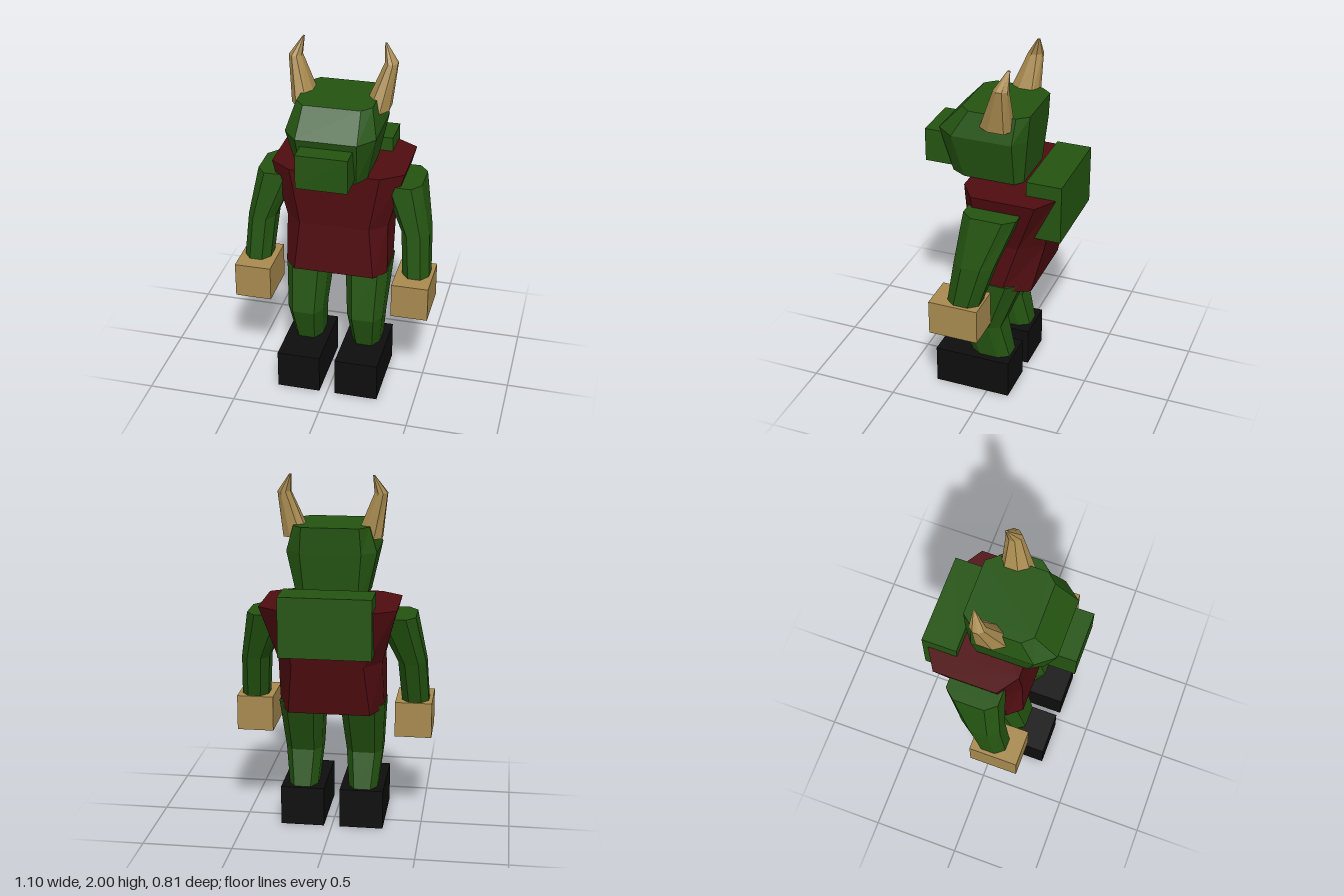
import * as THREE from 'three';

const paint = (name, color) => {
  const m = new THREE.MeshStandardMaterial({ color });
  m.name = name;
  return m;
};

// Eight-sided loft. Section: [y, xMin, xMax, zMin, zMax, cutX, cutZFront, cutZBack]
function loft(sections, side = 1) {
  const rings = sections.map(([y, xa, xb, z0, z1, cx, cf, cb = cf]) => {
    const x0 = side > 0 ? xa : -xb, x1 = side > 0 ? xb : -xa;
    return [
      [x0 + cx, y, z1], [x1 - cx, y, z1], [x1, y, z1 - cf], [x1, y, z0 + cb],
      [x1 - cx, y, z0], [x0 + cx, y, z0], [x0, y, z0 + cb], [x0, y, z1 - cf],
    ];
  });
  const pos = [];
  const tri = (a, b, c) => pos.push(...a, ...b, ...c);
  for (let r = 0; r < rings.length - 1; r++) {
    for (let i = 0; i < 8; i++) {
      const j = (i + 1) % 8, lo = rings[r], hi = rings[r + 1];
      tri(lo[i], lo[j], hi[j]);
      tri(lo[i], hi[j], hi[i]);
    }
  }
  const bottom = rings[0], top = rings[rings.length - 1];
  for (let i = 1; i < 7; i++) {
    tri(top[0], top[i], top[i + 1]);
    tri(bottom[0], bottom[i + 1], bottom[i]);
  }
  const g = new THREE.BufferGeometry();
  g.setAttribute('position', new THREE.Float32BufferAttribute(pos, 3));
  g.computeVertexNormals();
  return g;
}

// Box from its limits
function block(x0, x1, y0, y1, z0, z1) {
  return new THREE.BoxGeometry(x1 - x0, y1 - y0, z1 - z0)
    .translate((x0 + x1) / 2, (y0 + y1) / 2, (z0 + z1) / 2);
}

export function createModel() {
  const model = new THREE.Group();
  model.name = 'hornedCreature';
  const green = paint('green skin', 0x245411);
  const red = paint('dark red tunic', 0x500d10);
  const tan = paint('tan horn and hand', 0xa88a4f);
  const black = paint('black shoe', 0x0e0e0e);
  const add = (name, geometry, material) => {
    const mesh = new THREE.Mesh(geometry, material);
    mesh.name = name;
    model.add(mesh);
  };

  // Torso, leaning back toward the shoulders
  add('torso', loft([
    [0.71, -0.29, 0.29, -0.24, 0.155, 0.065, 0.08, 0.15],
    [1.0, -0.285, 0.285, -0.307, 0.135, 0.09, 0.08, 0.125],
    [1.32, -0.37, 0.37, -0.38, 0.135, 0.12, 0.085, 0.075],
  ]), red);
  add('backHump', block(-0.25, 0.25, 1.07, 1.4, -0.41, -0.215), green);

  // Head and snout
  add('head', loft([
    [1.335, -0.19, 0.19, -0.165, 0.24, 0.045, 0.08, 0.04],
    [1.59, -0.245, 0.245, -0.19, 0.31, 0.08, 0.1, 0.06],
    [1.73, -0.205, 0.205, -0.2, 0.18, 0.05, 0.055, 0.06],
  ]), green);
  add('snout', block(-0.14, 0.14, 1.36, 1.55, 0.15, 0.405), green);

  for (const [label, s] of [['left', 1], ['right', -1]]) {
    // Horn, curving inward at the tip
    add(label + 'Horn', loft([
      [1.66, 0.125, 0.265, -0.12, 0.055, 0.04, 0.06, 0.025],
      [1.905, 0.225, 0.295, -0.12, -0.04, 0.022, 0.025],
      [2.0, 0.218, 0.228, -0.115, -0.1, 0.003, 0.004],
    ], s), tan);

    // Arm and blocky hand
    add(label + 'Arm', loft([
      [0.72, 0.38, 0.53, -0.035, 0.145, 0.04, 0.05],
      [0.97, 0.36, 0.515, -0.115, 0.108, 0.04, 0.06],
      [1.25, 0.24, 0.46, -0.22, 0.075, 0.05, 0.06],
    ], s), green);
    const hand = block(0.345, 0.55, 0.53, 0.73, -0.05, 0.23);
    const shoe = block(0.045, 0.29, 0, 0.225, -0.13, 0.31);
    if (s < 0) for (const g of [hand, shoe]) g.rotateY(Math.PI).scale(1, 1, 1);
    if (s < 0) {
      // Turning mirrors x; slide back to the matching depth
      hand.translate(0, 0, 0.18);
      shoe.translate(0, 0, 0.18);
    }
    add(label + 'Hand', hand, tan);

    // Leg with the knee forward, and shoe
    add(label + 'Leg', loft([
      [0.21, 0.09, 0.25, -0.115, 0.11, 0.035, 0.06],
      [0.43, 0.07, 0.275, -0.065, 0.175, 0.04, 0.06],
      [0.74, 0.045, 0.295, -0.185, 0.12, 0.05, 0.07],
    ], s), green);
    add(label + 'Shoe', shoe, black);
  }
  return model;
}
